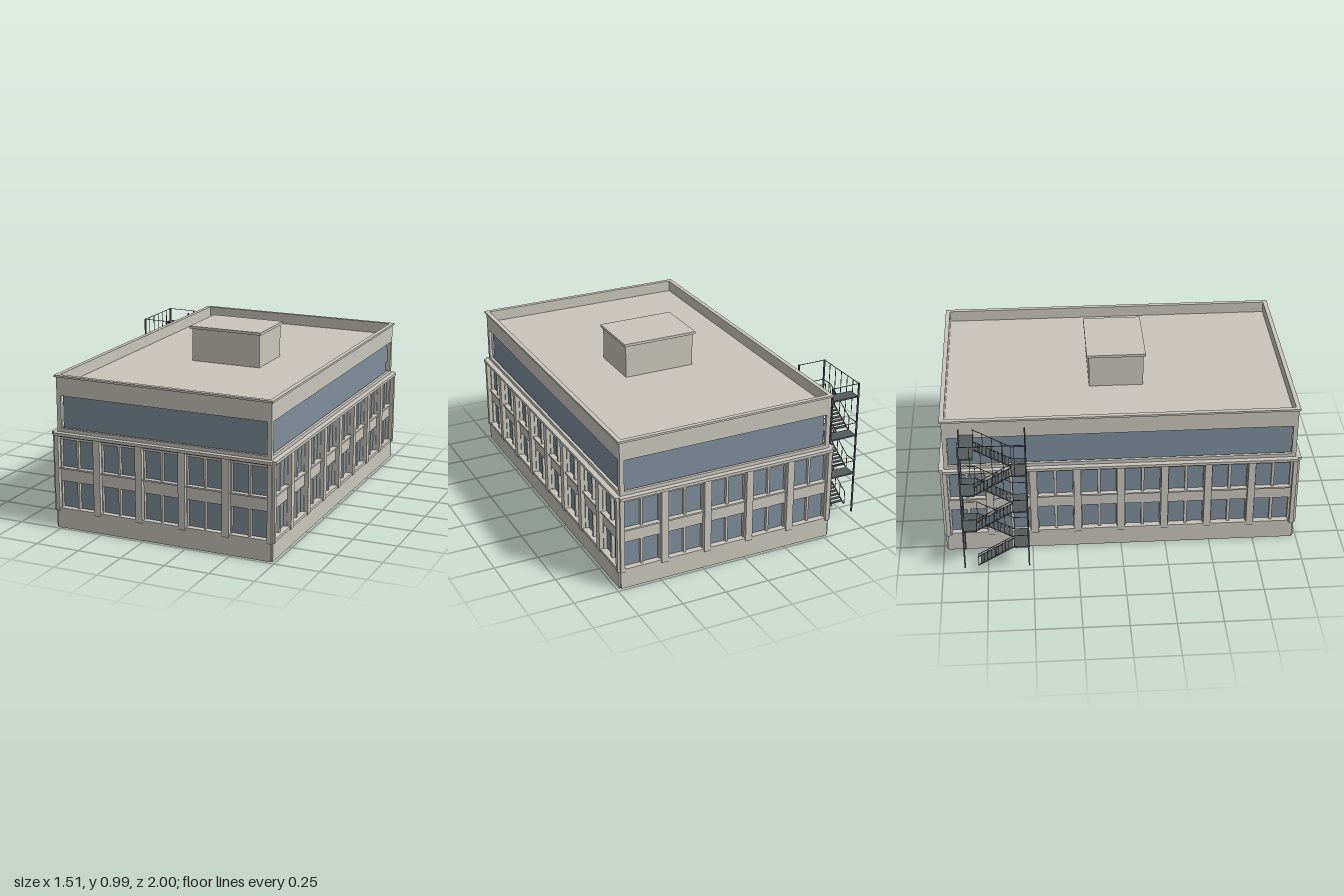
import * as THREE from 'three';

const wallMat = new THREE.MeshStandardMaterial({ name: 'pale stone', color: 0xc9c5bc });
const glassMat = new THREE.MeshStandardMaterial({ name: 'blue grey glass', color: 0x7d8e9b, side: THREE.DoubleSide });
const steelMat = new THREE.MeshStandardMaterial({ name: 'dark steel', color: 0x555a5e });

const CX = 0.1, HX = 0.62, HZ = 0.97; // building centre and wall half extents

// Box given by its minimum and maximum along each axis
function block(parent, name, mat, [x0, x1], [y0, y1], [z0, z1]) {
  const mesh = new THREE.Mesh(new THREE.BoxGeometry(x1 - x0, y1 - y0, z1 - z0), mat);
  mesh.position.set((x0 + x1) / 2, (y0 + y1) / 2, (z0 + z1) / 2);
  mesh.name = name;
  parent.add(mesh);
  return mesh;
}

function rectPoints(shape, x0, x1, y0, y1) {
  shape.moveTo(x0, y0);
  shape.lineTo(x1, y0);
  shape.lineTo(x1, y1);
  shape.lineTo(x0, y1);
  shape.closePath();
  return shape;
}

// Wall with rectangular openings, outer face at z = 0
function piercedWall(parent, name, half, y0, y1, depth, openings) {
  const shape = rectPoints(new THREE.Shape(), -half, half, y0, y1);
  for (const o of openings) shape.holes.push(rectPoints(new THREE.Path(), ...o));
  const mesh = new THREE.Mesh(new THREE.ExtrudeGeometry(shape, { depth, bevelEnabled: false }), wallMat);
  mesh.position.z = -depth;
  mesh.name = name;
  parent.add(mesh);
}

function pane(parent, name, [x0, x1, y0, y1], z) {
  const mesh = new THREE.Mesh(new THREE.PlaneGeometry(x1 - x0, y1 - y0), glassMat);
  mesh.position.set((x0 + x1) / 2, (y0 + y1) / 2, z);
  mesh.name = name;
  parent.add(mesh);
}

// One side of the building: x runs along the wall, z points outward
function facade(name, half, bays, spacing, paneWidth, paneOffset) {
  const g = new THREE.Group();
  g.name = name;
  const span = [-half - 0.01, half + 0.01];
  block(g, 'plinth', wallMat, [-half - 0.006, half + 0.006], [0, 0.1], [-0.02, 0.014]);

  // Two storeys of paired windows
  const openings = [];
  for (let i = 0; i < bays; i++) {
    const c = (i - (bays - 1) / 2) * spacing;
    for (const s of [-1, 1]) {
      const m = c + s * paneOffset;
      for (const [y0, y1] of [[0.115, 0.265], [0.343, 0.5]])
        openings.push([m - paneWidth / 2, m + paneWidth / 2, y0, y1]);
    }
    const w = paneOffset + paneWidth / 2 + 0.005;
    block(g, 'lowerSill', wallMat, [c - w, c + w], [0.1, 0.116], [-0.016, 0.018]);
    block(g, 'upperSill', wallMat, [c - w, c + w], [0.335, 0.344], [-0.016, 0.012]);
    block(g, 'bayLintel', wallMat, [c - w, c + w], [0.515, 0.528], [-0.01, 0.012]);
  }
  piercedWall(g, 'lowerWall', half, 0.1, 0.53, 0.02, openings);
  for (const o of openings) pane(g, 'windowPane', o, -0.018);

  // Piers between bays, narrower at the corners
  for (let i = 0; i <= bays; i++) {
    const end = i === 0 || i === bays;
    const c = end ? (i ? 1 : -1) * (half - 0.002) : (i - bays / 2) * spacing;
    const w = end ? 0.012 : 0.02;
    block(g, 'pier', wallMat, [c - w, c + w], [0.1, 0.526], [-0.005, 0.023]);
  }
  block(g, 'cornice', wallMat, span, [0.524, 0.54], [-0.025, 0.03]);

  // Set-back top storey with a long glass band
  const inner = half - 0.025;
  piercedWall(g, 'upperWall', half, 0.54, 0.842, 0.016, [[-inner, inner, 0.56, 0.74]]);
  pane(g, 'glassBand', [-inner, inner, 0.54, 0.782], -0.025);
  block(g, 'parapetCap', wallMat, [-half - 0.009, half + 0.009], [0.842, 0.853], [-0.016, 0.009]);
  return g;
}

// Thin square bar between two points
function bar(parent, name, a, b, size) {
  const p = new THREE.Vector3(...a), q = new THREE.Vector3(...b);
  const mesh = new THREE.Mesh(new THREE.BoxGeometry(size, size, p.distanceTo(q)), steelMat);
  mesh.position.copy(p).add(q).multiplyScalar(0.5);
  if (Math.abs(q.x - p.x) + Math.abs(q.z - p.z) < 1e-6) mesh.rotation.x = Math.PI / 2;
  else mesh.lookAt(q);
  mesh.name = name;
  parent.add(mesh);
}

function fireEscape() {
  const g = new THREE.Group();
  g.name = 'fireEscape';
  const X0 = -0.753, X1 = -0.587, ZB = -0.876, ZF = -0.522;
  const STAIR_B = -0.8, STAIR_F = -0.6, RISE = 0.118, RAIL = 0.075;

  for (const x of [X0, X1]) for (const z of [ZB, ZF])
    block(g, 'cornerPost', steelMat, [x - 0.004, x + 0.004], [0.04, 0.837], [z - 0.004, z + 0.004]);

  for (let f = 0; f < 6; f++) {
    const top = 0.17 + f * RISE, bottom = top - RISE;
    const outer = f % 2 === 0; // outer lane climbs forward, inner lane climbs back
    const [zs, ze] = outer ? [STAIR_B, STAIR_F] : [STAIR_F, STAIR_B];
    const [l, r] = outer ? [X0 + 0.003, -0.674] : [-0.666, X1 - 0.003];

    // Landing with its rails
    const [p0, p1] = outer ? [STAIR_F, ZF] : [ZB, STAIR_B];
    const endZ = outer ? ZF : ZB;
    block(g, 'landing', steelMat, [X0, X1], [top - 0.008, top], [p0, p1]);
    bar(g, 'landingRail', [X0, top + RAIL, endZ], [X1, top + RAIL, endZ], 0.003);
    for (const x of [X0, X1])
      if (f < 5 || x === X0) bar(g, 'landingRail', [x, top + RAIL, p0], [x, top + RAIL, p1], 0.003);

    // Treads, strings, handrails and balusters
    const steps = 10;
    for (let i = 1; i < steps; i++) {
      const t = i / steps, z = zs + (ze - zs) * t, y = bottom + RISE * t;
      block(g, 'tread', steelMat, [l, r], [y - 0.002, y + 0.002], [z - 0.009, z + 0.009]);
    }
    for (const x of [l, r])
      bar(g, 'stairString', [x, bottom, zs], [x, top, ze], 0.005);
    const side = outer ? X0 : X1;
    bar(g, 'handrail', [side, bottom + RAIL, zs], [side, top + RAIL, ze], 0.003);
    for (let i = 0; i <= 4; i++) {
      const t = i / 4, z = zs + (ze - zs) * t, y = bottom + RISE * t;
      bar(g, 'baluster', [side, y, z], [side, y + RAIL, z], 0.003);
    }
  }

  // Bridge to the building and the topmost rail
  block(g, 'bridge', steelMat, [X1, -0.48], [0.752, 0.76], [ZB, STAIR_B]);
  bar(g, 'topRail', [X0, 0.835, ZB], [X0, 0.835, ZF], 0.003);
  bar(g, 'topRail', [X0, 0.835, ZF], [X1, 0.835, ZF], 0.003);
  for (let i = 1; i < 6; i++) {
    const z = ZB + (ZF - ZB) * i / 6;
    bar(g, 'topBaluster', [X0, 0.64, z], [X0, 0.835, z], 0.003);
  }
  return g;
}

export function createModel() {
  const model = new THREE.Group();
  model.name = 'officeBuilding';

  // Four facades
  for (const s of [1, -1]) {
    const end = facade(s > 0 ? 'frontFacade' : 'backFacade', HX, 5, 0.25, 0.094, 0.0535);
    end.position.set(CX, 0, s * HZ);
    end.rotation.y = s > 0 ? 0 : Math.PI;
    const flank = facade(s > 0 ? 'leftFacade' : 'rightFacade', HZ, 8, 0.2425, 0.088, 0.052);
    flank.position.set(CX + s * HX, 0, 0);
    flank.rotation.y = s * Math.PI / 2;
    model.add(end, flank);
  }

  // Roof deck and rooftop housing
  block(model, 'roofDeck', wallMat, [CX - HX + 0.01, CX + HX - 0.01], [0.778, 0.788], [-HZ + 0.01, HZ - 0.01]);
  block(model, 'roofHousing', wallMat, [-0.105, 0.307], [0.785, 0.976], [-0.153, 0.153]);
  block(model, 'roofHousingCap', wallMat, [-0.117, 0.318], [0.976, 0.991], [-0.165, 0.165]);

  model.add(fireEscape());
  return model;
}
